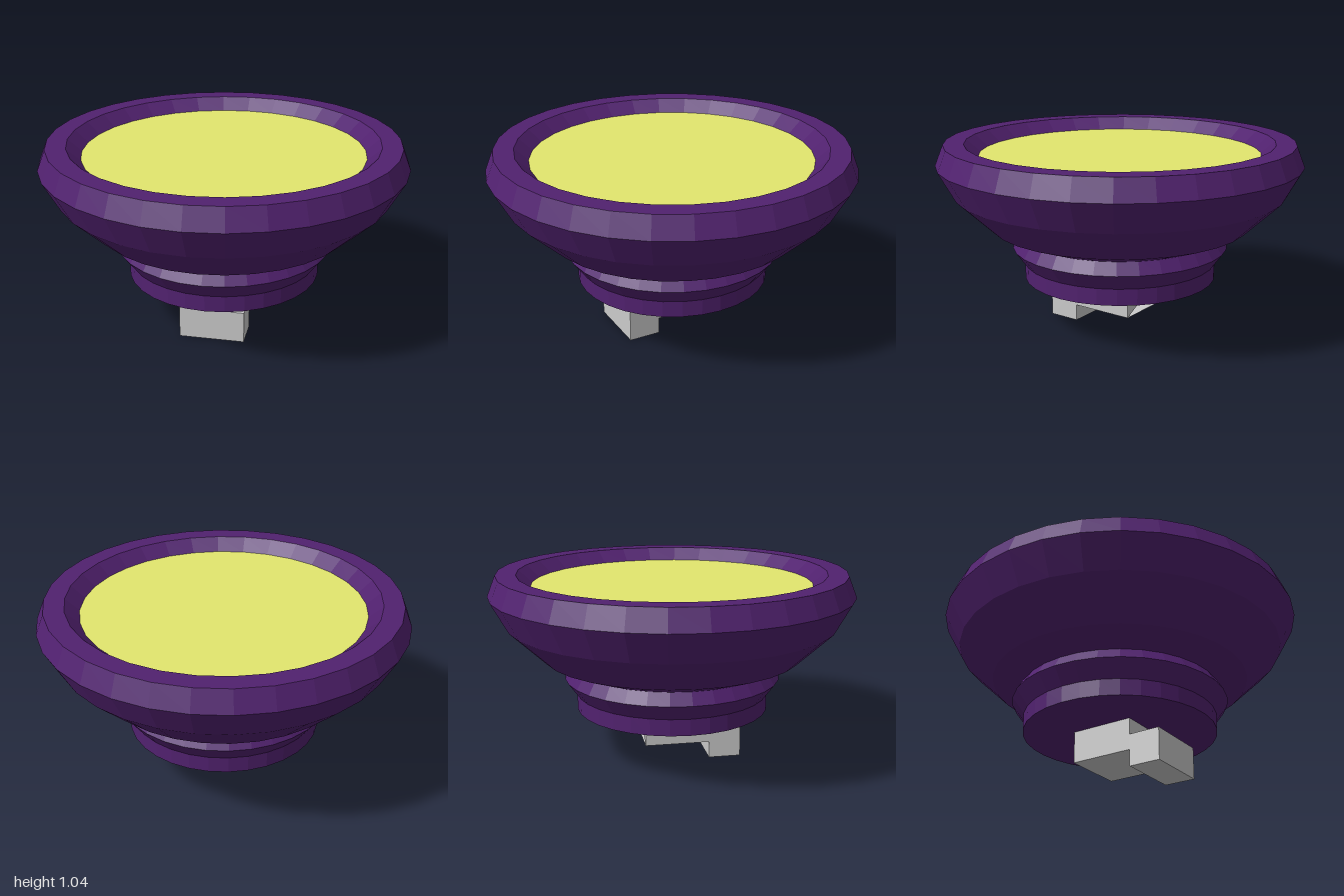
import * as THREE from 'three';

const SIDES = 32;
const mat = (color) => new THREE.MeshStandardMaterial({ color, flatShading: true });

export function createModel() {
  const model = new THREE.Group();
  const purple = mat(0x51216f);
  const yellow = mat(0xe2e76e);
  const grey = mat(0xcccccc);
  const greyOpen = mat(0xcccccc);
  greyOpen.side = THREE.DoubleSide;

  const add = (name, geometry, material, x = 0, y = 0, z = 0) => {
    const mesh = new THREE.Mesh(geometry, material);
    mesh.name = name;
    mesh.position.set(x, y, z);
    model.add(mesh);
    return mesh;
  };
  const lathe = (points) =>
    new THREE.LatheGeometry(points.map(([r, y]) => new THREE.Vector2(r, y)), SIDES);

  // Stepped foot with a ridged collar, closed underneath
  add('foot', lathe([[0, 0.27], [0.535, 0.27], [0.535, 0.36], [0.6, 0.45], [0.56, 0.515]]), purple);

  // Flared bowl, bevelled rim and sloping inner lip
  add('bowl', lathe([
    [0.56, 0.515], [0.715, 0.575], [0.91, 0.76], [1, 0.925],
    [0.955, 1.037], [0.845, 1.037], [0.77, 0.97],
  ]), purple);

  // Flat disc sunk inside the lip
  const disc = new THREE.CircleGeometry(0.77, SIDES).rotateX(-Math.PI / 2);
  add('topDisc', disc, yellow, 0, 0.97, 0);

  // Mounting block, a box without its back face (the last six indices)
  const block = new THREE.BoxGeometry(0.358, 0.18, 0.358);
  block.setIndex(Array.from(block.index.array).slice(0, 30));
  block.clearGroups();
  add('mountBlock', block, greyOpen, 0, 0.182, 0);

  // Back plate of the block with a triangular opening up to its centre
  const plate = new THREE.Shape([[-0.179, -0.09], [0, 0], [0.179, -0.09], [0.179, 0.09], [-0.179, 0.09]]
    .map(([x, y]) => new THREE.Vector2(x, y)));
  add('mountBackPlate', new THREE.ShapeGeometry(plate).rotateY(Math.PI), greyOpen, 0, 0.182, -0.179);

  // Lower hook block in front of it
  add('hookBlock', new THREE.BoxGeometry(0.358, 0.178, 0.178), grey, 0, 0.089, 0.268);

  return model;
}
